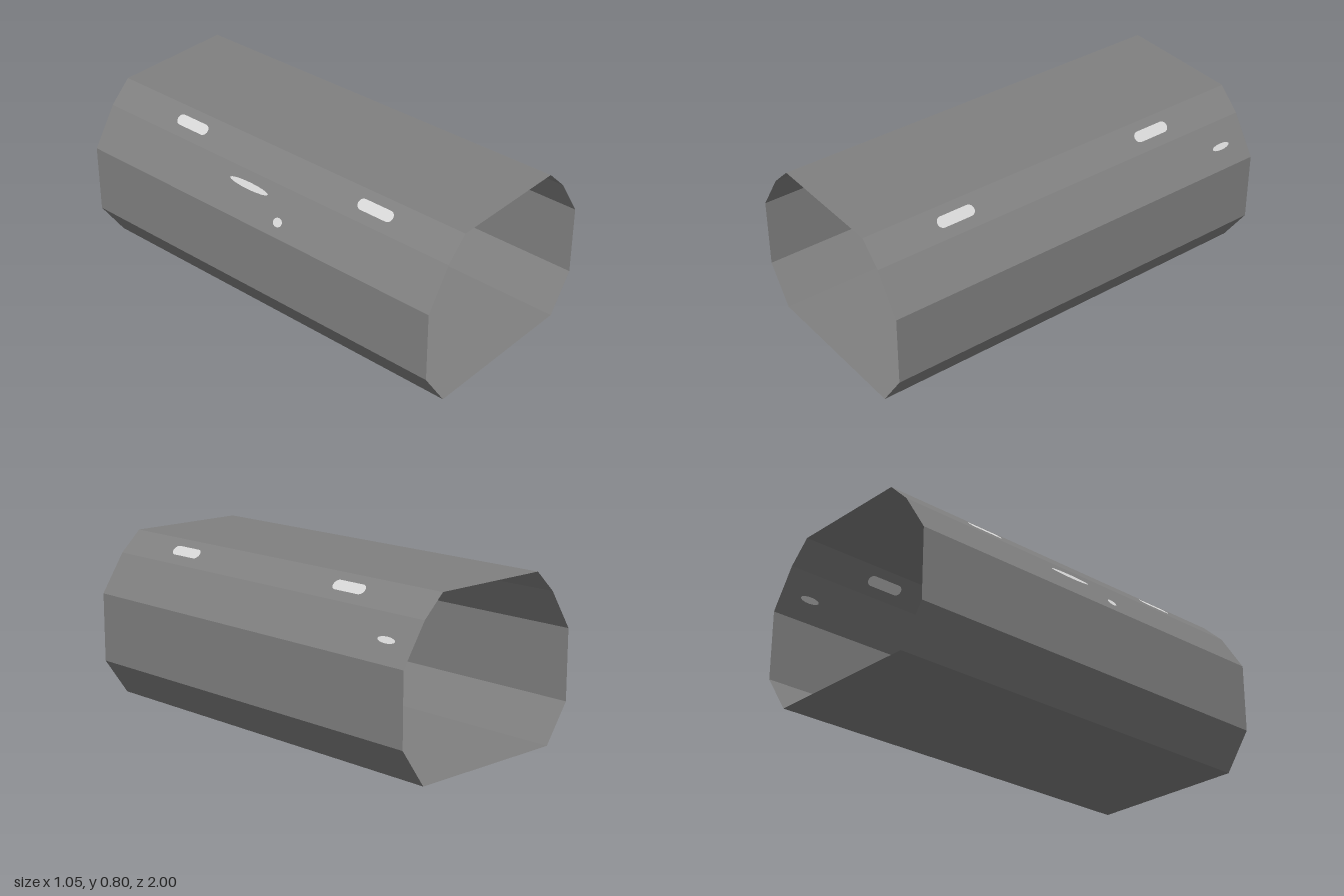
import * as THREE from 'three';

// Half cross-section of the tunnel, from roof edge to floor edge (x, y)
const PROFILE = [[0.3, 0.8], [0.405, 0.7], [0.525, 0.515], [0.525, 0.18], [0.4, 0]];
const HALF_LENGTH = 1;

export function createModel() {
  const wall = new THREE.MeshStandardMaterial({ color: 0x808080, side: THREE.DoubleSide });
  wall.name = 'wallGrey';
  const lamp = new THREE.MeshStandardMaterial({ color: 0xd6d6d6, side: THREE.DoubleSide });
  lamp.name = 'lampPale';

  const model = new THREE.Group();
  model.name = 'tunnelSection';

  // Flat panel between two section points, running the full length
  function addPanel(name, [ax, ay], [bx, by]) {
    const L = HALF_LENGTH;
    const g = new THREE.BufferGeometry();
    g.setAttribute('position', new THREE.Float32BufferAttribute([
      ax, ay, L, bx, by, L, bx, by, -L,
      ax, ay, L, bx, by, -L, ax, ay, -L,
    ], 3));
    g.computeVertexNormals();
    const mesh = new THREE.Mesh(g, wall);
    mesh.name = name;
    model.add(mesh);
  }

  // Closed loop of panels, wound clockwise as seen from the front
  const mirrored = PROFILE.map(([x, y]) => [-x, y]).reverse();
  const ring = [...PROFILE, ...mirrored];
  const names = ['leftUpperShoulder', 'leftLowerShoulder', 'leftWall', 'leftSkirt', 'floor',
    'rightSkirt', 'rightWall', 'rightLowerShoulder', 'rightUpperShoulder', 'roof'];
  // Reversed order makes the normals face outward
  ring.forEach((p, i) => addPanel(names[i], ring[(i + 1) % ring.length], p));

  // Rounded flat shape, long axis on x
  function stadium(length, width) {
    const r = width / 2;
    const h = Math.max(length / 2 - r, 0);
    const s = new THREE.Shape();
    s.absarc(h, 0, r, -Math.PI / 2, Math.PI / 2, false);
    s.absarc(-h, 0, r, Math.PI / 2, Math.PI * 1.5, false);
    return new THREE.ShapeGeometry(s, 6);
  }

  function ellipse(length, width) {
    const s = new THREE.Shape();
    s.absellipse(0, 0, length / 2, width / 2, 0, Math.PI * 2);
    return new THREE.ShapeGeometry(s, 8);
  }

  // Lay a plate on both faces of shoulder facet `seg`, at fraction t down it
  function addPlate(name, geometry, side, seg, t, z) {
    const a = new THREE.Vector3(side * PROFILE[seg][0], PROFILE[seg][1], z);
    const b = new THREE.Vector3(side * PROFILE[seg + 1][0], PROFILE[seg + 1][1], z);
    const up = a.clone().sub(b).normalize();
    const along = new THREE.Vector3(0, 0, -side);
    const normal = along.clone().cross(up);
    const basis = new THREE.Matrix4().makeBasis(along, up, normal);
    const group = new THREE.Group();
    group.name = name;
    for (const offset of [0.003, -0.003]) {
      const mesh = new THREE.Mesh(geometry, lamp);
      mesh.name = offset > 0 ? 'outerFace' : 'innerFace';
      mesh.quaternion.setFromRotationMatrix(basis);
      mesh.position.lerpVectors(a, b, t).addScaledVector(normal, offset);
      group.add(mesh);
    }
    model.add(group);
  }

  // Four lamps along the upper shoulders
  const lampShape = stadium(0.19, 0.052);
  for (const side of [1, -1]) {
    for (const z of [0.57, -0.515]) {
      addPlate(side > 0 ? 'leftLamp' : 'rightLamp', lampShape, side, 0, 0.48, z);
    }
  }

  // Small pale patches on the lower shoulders
  addPlate('leftPatch', ellipse(0.1, 0.03), 1, 1, 0.53, -0.85);
  addPlate('rightLongPatch', ellipse(0.23, 0.032), -1, 1, 0.29, -0.08);
  addPlate('rightRoundPatch', ellipse(0.05, 0.042), -1, 1, 0.7, 0.135);

  return model;
}
